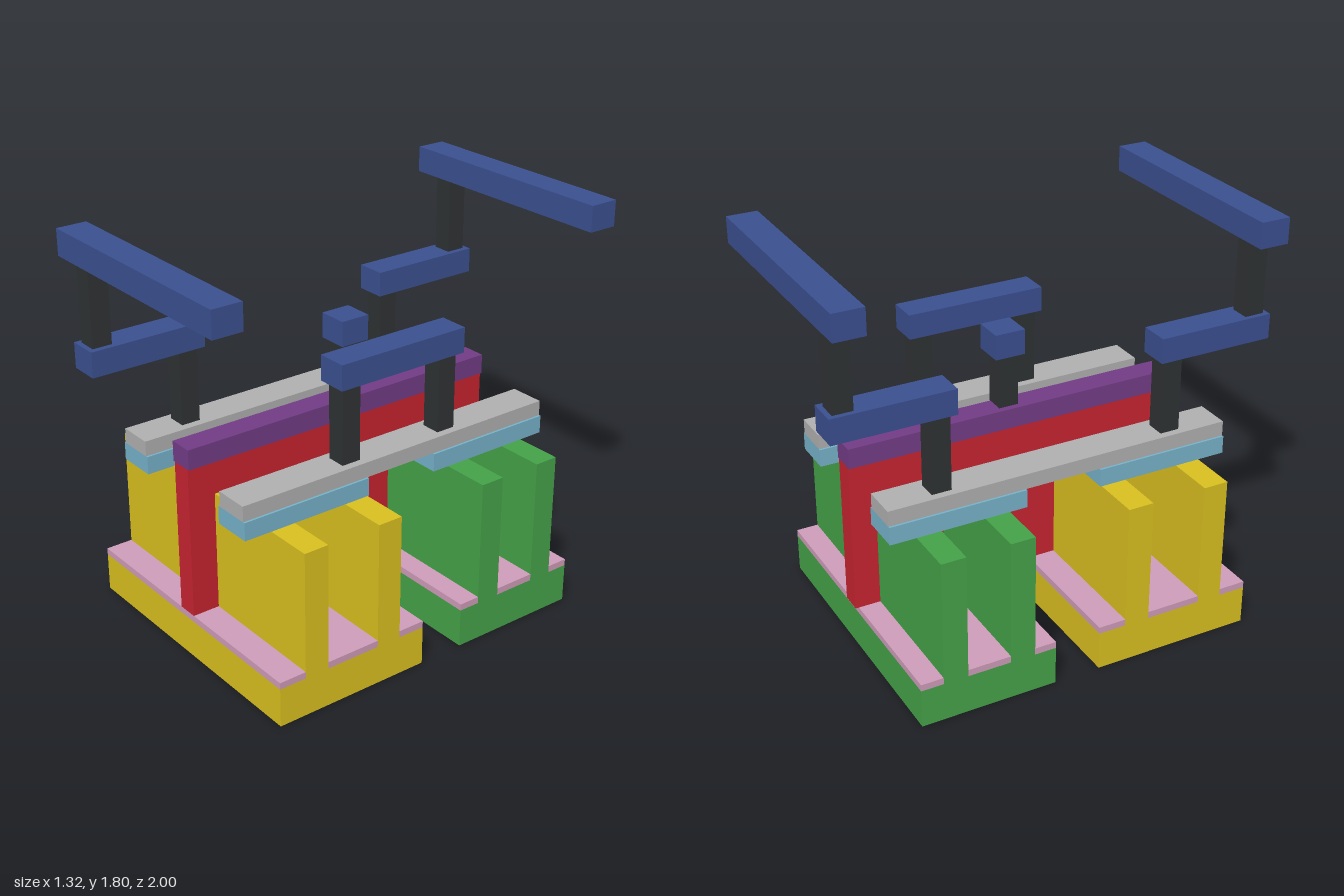
import * as THREE from 'three';

const material = (color) => new THREE.MeshStandardMaterial({ color });

export function createModel() {
  const model = new THREE.Group();
  const yellow = material(0xdbc120), green = material(0x45a349), pink = material(0xd09dba);
  const red = material(0xc82430), purple = material(0x733c87), grey = material(0xb1b1b1);
  const lightBlue = material(0x77b3cb), blue = material(0x3b5091), black = material(0x2f3233);

  // Box given by its extents along each axis
  function block(name, mat, [x0, x1], [y0, y1], [z0, z1], parent = model) {
    const mesh = new THREE.Mesh(new THREE.BoxGeometry(x1 - x0, y1 - y0, z1 - z0), mat);
    mesh.position.set((x0 + x1) / 2, (y0 + y1) / 2, (z0 + z1) / 2);
    mesh.name = name;
    parent.add(mesh);
  }

  // Substrate with two upright fins and insulating strips between them
  function finBlock(name, mat, [z0, z1], fins) {
    const group = new THREE.Group();
    group.name = name;
    model.add(group);
    const width = [-0.66, 0.66];
    block('substrate', mat, width, [0, 0.175], [z0, z1], group);
    let start = z0;
    for (const fin of fins) {
      block('fin', mat, width, [0.175, 0.742], fin, group);
      block('insulator', pink, width, [0.175, 0.205], [start, fin[0]], group);
      start = fin[1];
    }
    block('insulator', pink, width, [0.175, 0.205], [start, z1], group);
  }
  finBlock('frontFinBlock', yellow, [0.055, 0.785], [[0.18, 0.295], [0.547, 0.66]]);
  finBlock('backFinBlock', green, [-0.77, -0.155], [[-0.67, -0.56], [-0.365, -0.253]]);

  // Central gate wall with its cap
  const length = [-0.785, 0.785];
  block('gate', red, [-0.047, 0.047], [0.205, 0.89], length);
  block('gateCap', purple, [-0.056, 0.056], [0.89, 0.98], length);

  // Contact bars on either side of the gate
  for (const [side, x] of [['right', -0.353], ['left', 0.353]]) {
    for (const [end, z] of [['Front', [0.173, 0.785]], ['Back', [-0.785, -0.173]]])
      block(side + end + 'ContactPad', lightBlue, [x - 0.09, x + 0.09], [0.742, 0.822], z);
    block(side + 'ContactBar', grey, [x - 0.08, x + 0.08], [0.822, 0.89], length);
  }

  // Square posts joining the wiring levels
  const post = (name, x, z, y) =>
    block(name, black, [x - 0.044, x + 0.044], y, [z - 0.044, z + 0.044]);
  // Lower wiring beams
  const beam = (name, x, z) => block(name, blue, [x - 0.068, x + 0.068], [1.23, 1.342], z);

  // Output beam above the left bar, input beam above the gate
  beam('outputBeam', 0.35, [-0.343, 0.293]);
  post('outputFrontPost', 0.353, 0.229, [0.89, 1.23]);
  post('outputBackPost', 0.353, -0.272, [0.89, 1.23]);
  beam('inputBeam', 0, [-0.117, 0.02]);
  post('inputPost', 0, -0.045, [0.99, 1.23]);

  // Stepped supply wiring at the front and back
  for (const [end, s] of [['front', 1], ['back', -1]]) {
    const span = (a, b) => (s > 0 ? [a, b] : [-b, -a]);
    post(end + 'LowerPost', -0.355, s * 0.535, [0.89, 1.23]);
    beam(end + 'StepBeam', -0.353, span(0.467, 1));
    post(end + 'UpperPost', -0.355, s * 0.934, [1.342, 1.685]);
    block(end + 'TopRail', blue, [-0.5, 0.59], [1.685, 1.8], span(0.865, 1));
  }
  return model;
}
